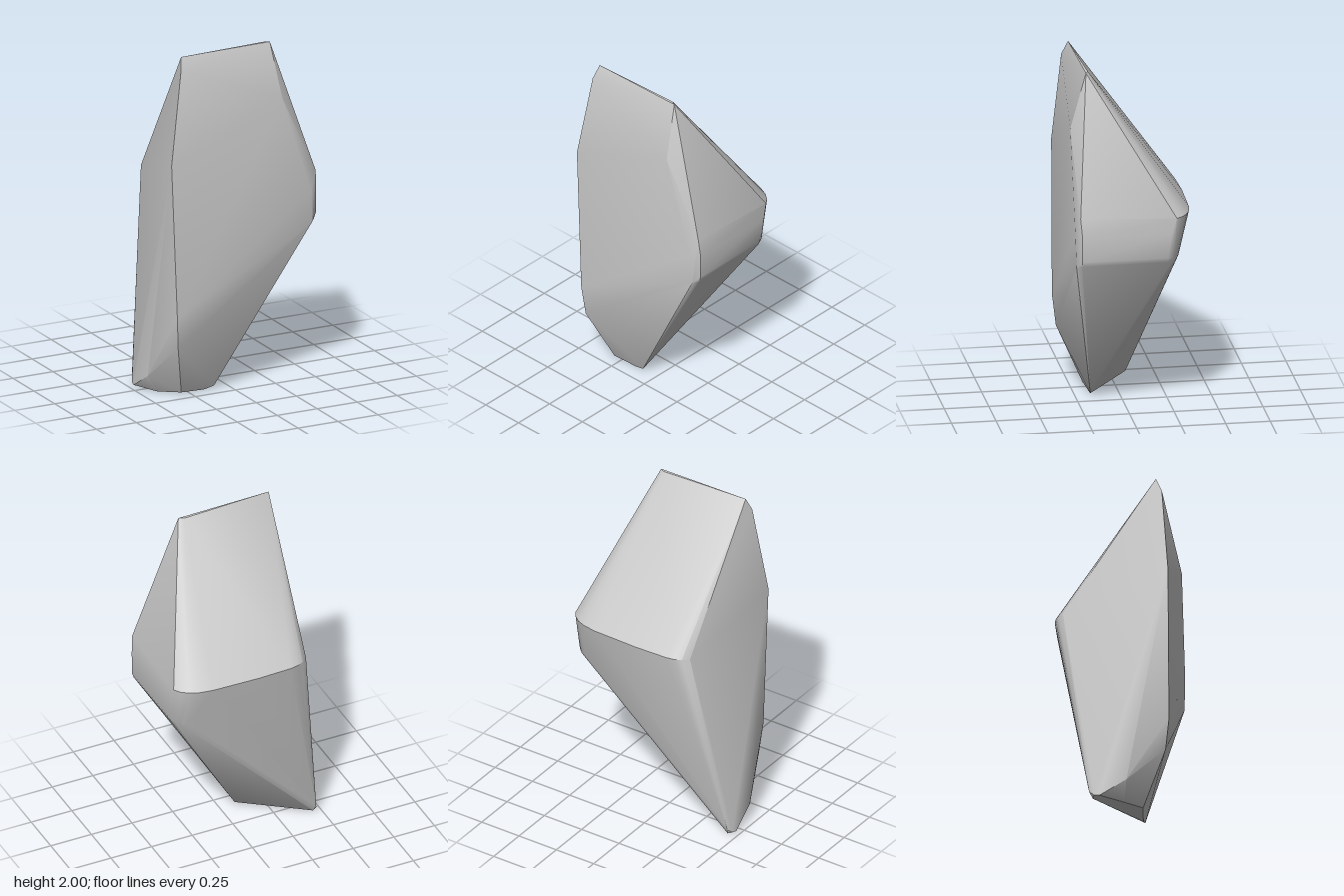
import * as THREE from 'three';
import { ConvexGeometry } from 'three/addons/geometries/ConvexGeometry.js';
import { toCreasedNormals } from 'three/addons/utils/BufferGeometryUtils.js';

const v = (x, y, z) => new THREE.Vector3(x, y, z);

export function createModel() {
  const stone = new THREE.MeshStandardMaterial({ color: 0xcacaca });
  stone.name = 'light grey stone';

  // Narrow crest at the top
  const crest = [
    v(-0.34, 2, 0.25), v(0.22, 2, 0.24), v(0.19, 2, 0.225), v(-0.36, 1.92, 0.285),
  ];
  // Broad, nearly flat front
  const front = [
    v(-0.44, 1.4, 0.328), v(0.25, 1.69, 0.333), v(0.43, 1.12, 0.333), v(0.44, 0.94, 0.328),
    v(-0.405, 0.5, 0.33), v(-0.39, 0.32, 0.31),
  ];
  // Softly bevelled shoulder on the +x side
  const shoulder = [
    v(0.47, 1.23, 0.31), v(0.478, 1.12, 0.3), v(0.476, 0.98, 0.3), v(0.465, 0.95, 0.3),
    v(0.475, 1.21, -0.23), v(0.478, 1.12, -0.2), v(0.474, 0.98, -0.18), v(0.462, 0.95, -0.18),
    v(0.455, 0.97, -0.215), v(0.43, 0.96, -0.235), v(0.4, 0.97, -0.25),
  ];
  // Rounded ridge across the back
  const ridge = [
    [0.45, -0.265], [0.41, -0.295], [0.36, -0.315], [0.28, -0.328], [0, -0.335],
    [-0.2, -0.328], [-0.25, -0.318], [-0.285, -0.3], [-0.32, -0.27],
  ].map(([x, z]) => v(x, 1.21, z));
  // Small slanting foot
  const foot = [
    v(-0.09, 0.015, 0.165), v(-0.15, 0, 0.16), v(-0.3, 0.01, 0.175), v(-0.4, 0.003, 0.08),
    v(-0.47, 0.11, 0.1), v(-0.48, 0.015, -0.05), v(-0.475, 0.02, -0.08),
    v(-0.46, 0.05, -0.11), v(-0.45, 0.01, -0.09),
  ];

  const hull = new ConvexGeometry([...crest, ...front, ...shoulder, ...ridge, ...foot]);
  const rock = new THREE.Mesh(toCreasedNormals(hull, 0.6), stone);
  rock.name = 'rock';

  const group = new THREE.Group();
  group.name = 'standingRock';
  group.add(rock);
  return group;
}
